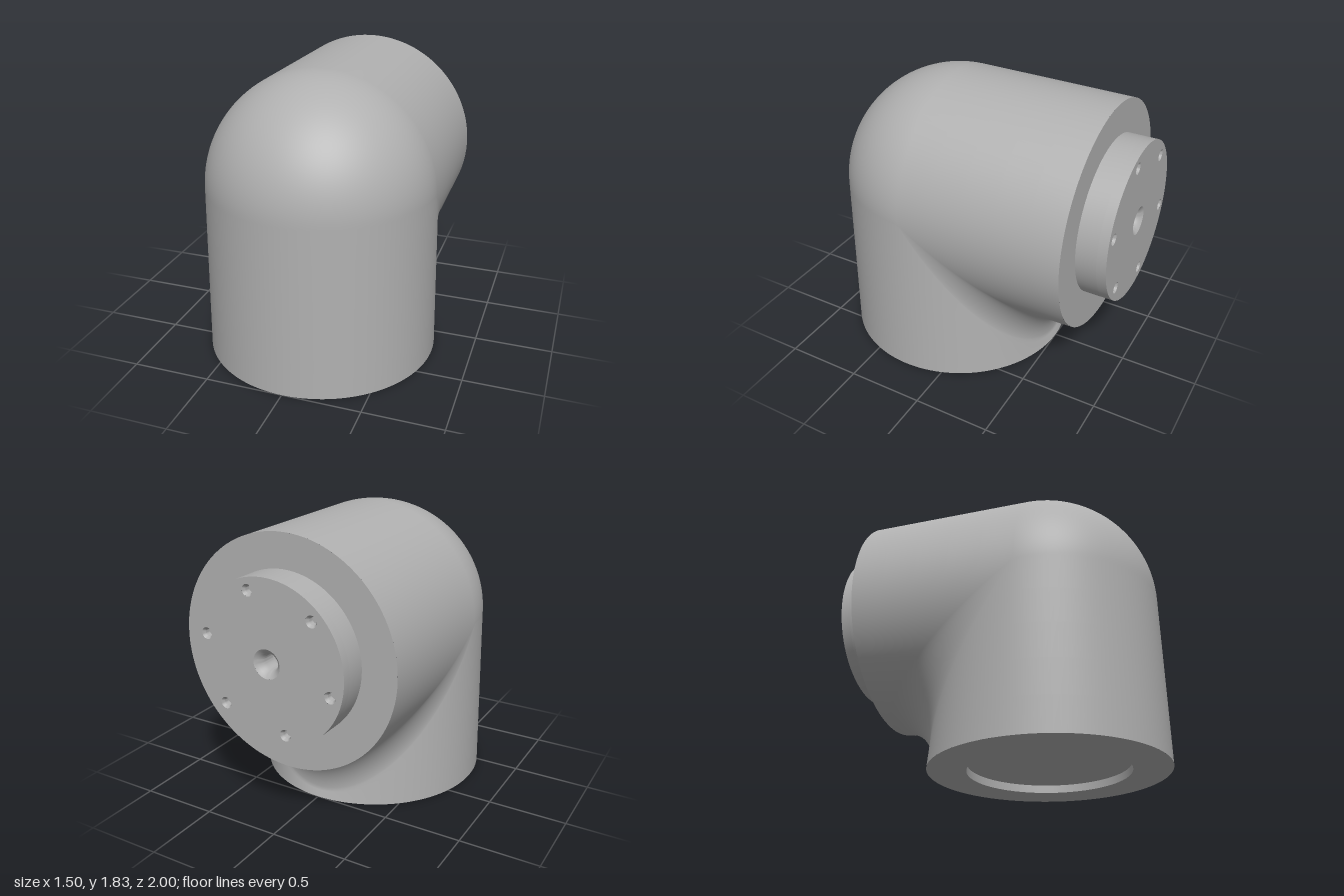
import * as THREE from 'three';
import { toCreasedNormals } from 'three/addons/utils/BufferGeometryUtils.js';

const JOINT = { y: 1.1, z: 0.25 };           // where the two pipe axes meet
const R_BASE = 0.75, R_JOINT = 0.733, R_END = 0.725, END_Z = -0.81;
const FILLET = 0.31 / R_JOINT;               // inner fillet size relative to offset
const FLANGE_R = 0.504;

// Elbow skin: loops of points swept up the upright leg, round the bend and back
function elbowGeometry(around = 120, legSteps = 5, bendSteps = 28) {
  const stations = [];
  for (let i = 0; i < legSteps; i++) stations.push({ base: 1 - i / legSteps, angle: 0, end: 0 });
  for (let i = 0; i <= bendSteps; i++) stations.push({ base: 0, angle: (i / bendSteps) * Math.PI / 2, end: 0 });
  for (let i = 1; i <= legSteps; i++) stations.push({ base: 0, angle: Math.PI / 2, end: i / legSteps });

  const positions = [], index = [];
  for (const { base, angle, end } of stations) {
    for (let j = 0; j < around; j++) {
      const phi = ((j + 0.5) / around) * Math.PI * 2;
      const c = Math.cos(phi), s = Math.sin(phi);
      // ball corner outside, fillet inside
      const w = R_JOINT * s;
      const radius = w > 0 ? w : -w * FILLET;
      const shift = w > 0 ? 0 : w - radius;
      let x = R_JOINT * c;
      let y = JOINT.y + shift + radius * Math.sin(angle);
      let z = JOINT.z + shift + radius * Math.cos(angle);
      // slight taper along both legs
      x = THREE.MathUtils.lerp(x, R_BASE * c, base);
      y = THREE.MathUtils.lerp(y, 0, base);
      z = THREE.MathUtils.lerp(z, JOINT.z + R_BASE * s, base);
      x = THREE.MathUtils.lerp(x, R_END * c, end);
      y = THREE.MathUtils.lerp(y, JOINT.y + R_END * s, end);
      z = THREE.MathUtils.lerp(z, END_Z, end);
      positions.push(x, y, z);
    }
  }
  for (let i = 0; i < stations.length - 1; i++) {
    for (let j = 0; j < around; j++) {
      const a = i * around + j, b = i * around + (j + 1) % around;
      index.push(a, a + around, b, b, a + around, b + around);
    }
  }
  const geometry = new THREE.BufferGeometry();
  geometry.setAttribute('position', new THREE.Float32BufferAttribute(positions, 3));
  geometry.setIndex(index);
  geometry.computeVertexNormals();
  return geometry;
}

// Turned part from [radius, height] pairs, with sharp edges kept
function turned(points, segments = 96) {
  const lathe = new THREE.LatheGeometry(points.map(([r, h]) => new THREE.Vector2(r, h)), segments);
  return toCreasedNormals(lathe, 0.6);
}

export function createModel() {
  const group = new THREE.Group();
  const grey = new THREE.MeshStandardMaterial({ color: 0xb0b0b0 });
  grey.name = 'grey';
  const add = (parent, name, geometry, x = 0, y = 0, z = 0) => {
    const mesh = new THREE.Mesh(geometry, grey);
    mesh.name = name;
    mesh.position.set(x, y, z);
    parent.add(mesh);
    return mesh;
  };

  add(group, 'elbowBody', elbowGeometry());

  // Underside ring with a shallow round recess
  add(group, 'baseRecess',
    turned([[0, 0.05], [0.507, 0.05], [0.507, 0], [R_BASE, 0]], 120), 0, 0, JOINT.z);

  // Flange group: local +z points out of the back
  const flange = new THREE.Group();
  flange.name = 'flange';
  flange.position.set(0, JOINT.y, END_Z);
  flange.rotation.y = Math.PI;
  group.add(flange);

  add(flange, 'shoulder', new THREE.RingGeometry(FLANGE_R - 0.02, R_END, 120));
  const hub = new THREE.Group();
  hub.name = 'hub';
  hub.position.y = 0.01;
  flange.add(hub);
  add(hub, 'collar', turned([[FLANGE_R, 0], [FLANGE_R, 0.13]]).rotateX(Math.PI / 2));
  add(hub, 'endPlateRim', turned([[FLANGE_R, 0.13], [FLANGE_R, 0.19]]).rotateX(Math.PI / 2));

  // End face pierced by a centre hole and six bolt holes
  const face = new THREE.Shape().absarc(0, 0, FLANGE_R, 0, Math.PI * 2);
  const pierce = (x, y, r) => face.holes.push(new THREE.Path().absarc(x, y, r, 0, Math.PI * 2, true));

  const centreR = 0.09;
  pierce(0, 0, centreR);
  add(hub, 'centreHole', turned([
    [centreR, 0], [0.07, -0.015], [0.055, -0.035], [0.048, -0.06], [0.048, -0.13], [0, -0.15],
  ], 48).rotateX(Math.PI / 2), 0, 0, 0.19);

  const boltR = 0.036;
  for (let i = 0; i < 6; i++) {
    const angle = THREE.MathUtils.degToRad(105 + i * 60);
    const x = 0.43 * Math.cos(angle), y = 0.43 * Math.sin(angle);
    pierce(x, y, boltR);
    add(hub, 'boltHole', turned([
      [boltR, 0], [0.024, -0.018], [0.024, -0.05], [0, -0.05],
    ], 24).rotateX(Math.PI / 2), x, y, 0.19);
  }
  add(hub, 'endFace', new THREE.ShapeGeometry(face, 48), 0, 0, 0.19);

  return group;
}
